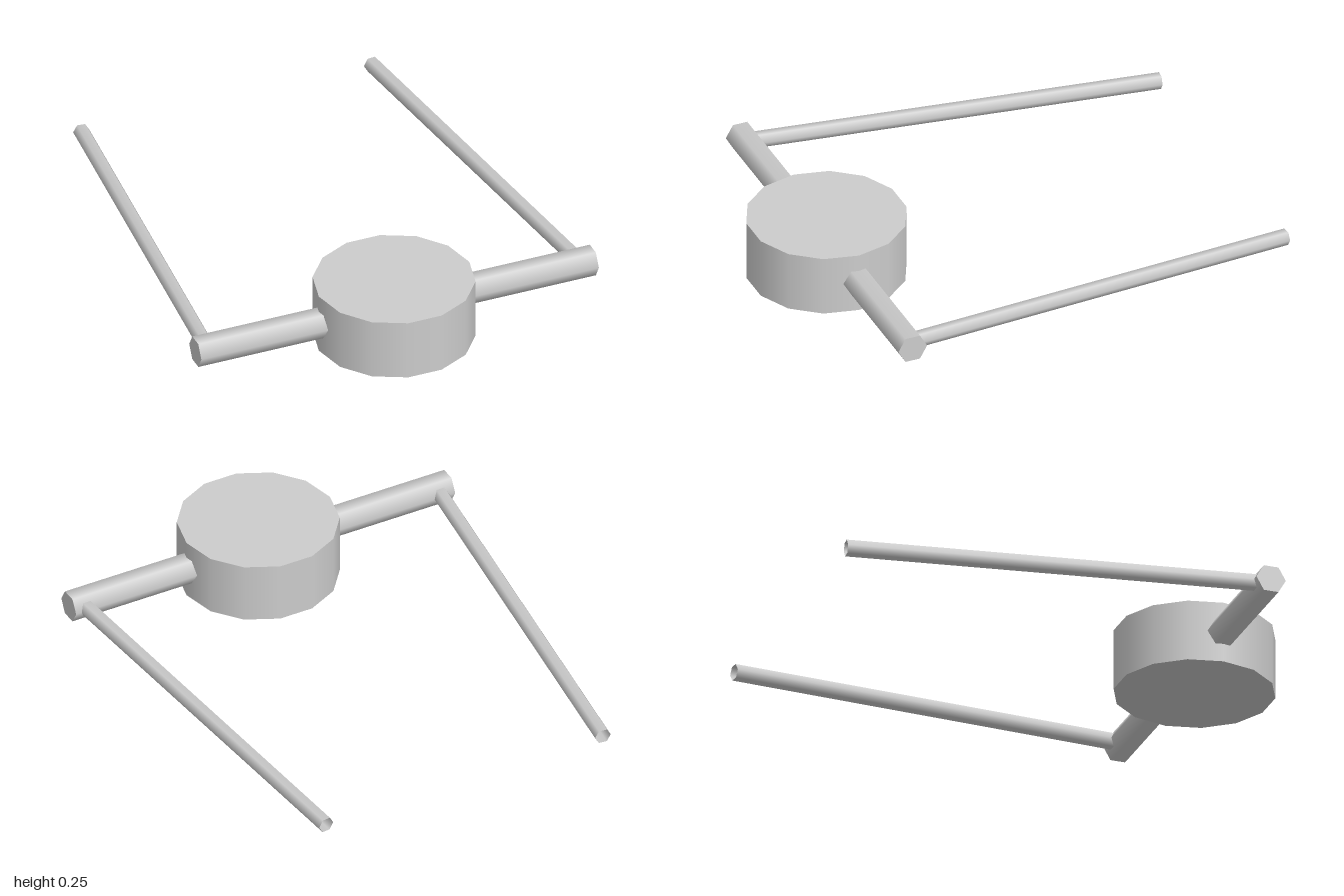
import * as THREE from 'three';

export function createModel() {
  const model = new THREE.Group();
  const grey = new THREE.MeshStandardMaterial({ color: 0xcccccc });
  grey.name = 'light grey';
  grey.side = THREE.DoubleSide;

  const add = (name, geometry) => {
    const mesh = new THREE.Mesh(geometry, grey);
    mesh.name = name;
    model.add(mesh);
    return mesh;
  };

  // Fourteen-sided drum, with flats facing front and back
  const drum = new THREE.CylinderGeometry(0.318, 0.318, 0.252, 14).rotateY(Math.PI / 2);
  add('drum', drum).position.set(0, 0.126, 0.69);

  // Hexagonal bar running sideways through the drum
  const bar = new THREE.CylinderGeometry(0.061, 0.061, 1.68, 6).rotateZ(Math.PI / 2);
  add('crossBar', bar).position.set(0, 0.128, 0.69);

  // Slim open tubes reaching backward, converging and dropping slightly
  for (const [name, side] of [['leftArm', 1], ['rightArm', -1]]) {
    const front = new THREE.Vector3(side * 0.785, 0.129, 0.66);
    const back = new THREE.Vector3(side * 0.613, 0.079, -0.996);
    const tube = new THREE.CylinderGeometry(0.033, 0.033, front.distanceTo(back), 6, 1, true)
      .rotateY(Math.PI / 2)
      .rotateX(Math.PI / 2);
    const arm = add(name, tube);
    arm.position.addVectors(front, back).multiplyScalar(0.5);
    arm.lookAt(front);
  }

  return model;
}
